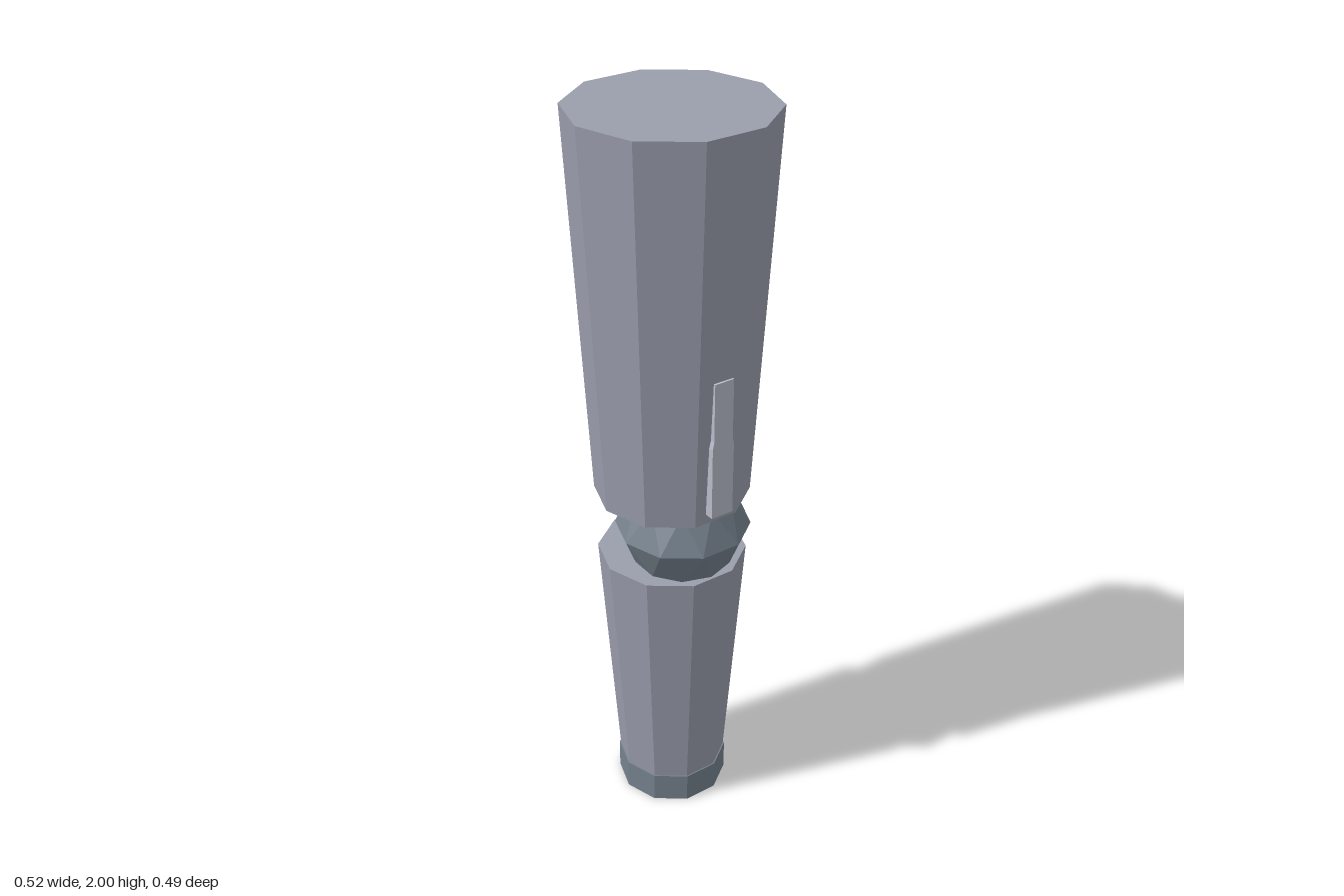
import * as THREE from 'three';
import { ConvexGeometry } from 'three/addons/geometries/ConvexGeometry.js';

const SIDES = 10;

function material(name, color) {
  const m = new THREE.MeshStandardMaterial({ color, flatShading: true });
  m.name = name;
  return m;
}

// Tapered ten-sided segment between two heights, with corners on the x axis
function segment(name, rTop, rBottom, y0, y1, mat) {
  const g = new THREE.CylinderGeometry(rTop, rBottom, y1 - y0, SIDES);
  g.rotateY(Math.PI / 2);
  g.translate(0, (y0 + y1) / 2, 0);
  const mesh = new THREE.Mesh(g, mat);
  mesh.name = name;
  return mesh;
}

// Faceted squashed ball made from staggered rings
function facetedBall(rings) {
  const points = [];
  for (const [r, y, turn] of rings) {
    for (let i = 0; i < SIDES; i++) {
      const a = ((i + turn) / SIDES) * Math.PI * 2;
      points.push(new THREE.Vector3(Math.cos(a) * r, y, Math.sin(a) * r));
    }
  }
  return new ConvexGeometry(points);
}

export function createModel() {
  const leg = new THREE.Group();
  leg.name = 'leg';
  const shell = material('shell grey', 0x9a9eac);
  const joint = material('joint blue grey', 0x75818d);
  const trim = material('pale trim', 0xb9bdca);

  // Limb segments
  leg.add(segment('thigh', 0.26, 0.204, 0.97, 2, shell));
  leg.add(segment('shin', 0.198, 0.148, 0.08, 0.785, shell));
  leg.add(segment('ankleBand', 0.152, 0.152, 0, 0.085, joint));

  // Knee joint, set forward of the limb axis
  const knee = new THREE.Mesh(
    facetedBall([[0.13, -0.103, 0.5], [0.178, 0, 0], [0.13, 0.103, 0.5]]),
    joint
  );
  knee.name = 'knee';
  knee.position.set(0, 0.887, 0.05);
  leg.add(knee);

  // Raised strip on the front of the thigh, slightly narrower at the top
  const outline = new THREE.Shape([
    [-0.032, 1.0], [0.032, 1.0], [0.032, 1.2], [0.028, 1.22],
    [0.028, 1.38], [-0.028, 1.38], [-0.028, 1.22], [-0.032, 1.2],
  ].map(([x, y]) => new THREE.Vector2(x, y)));
  const strip = new THREE.Mesh(
    new THREE.ExtrudeGeometry(outline, { depth: 0.032, bevelEnabled: false }),
    trim
  );
  strip.name = 'thighStrip';
  strip.position.z = 0.189;
  leg.add(strip);

  return leg;
}
